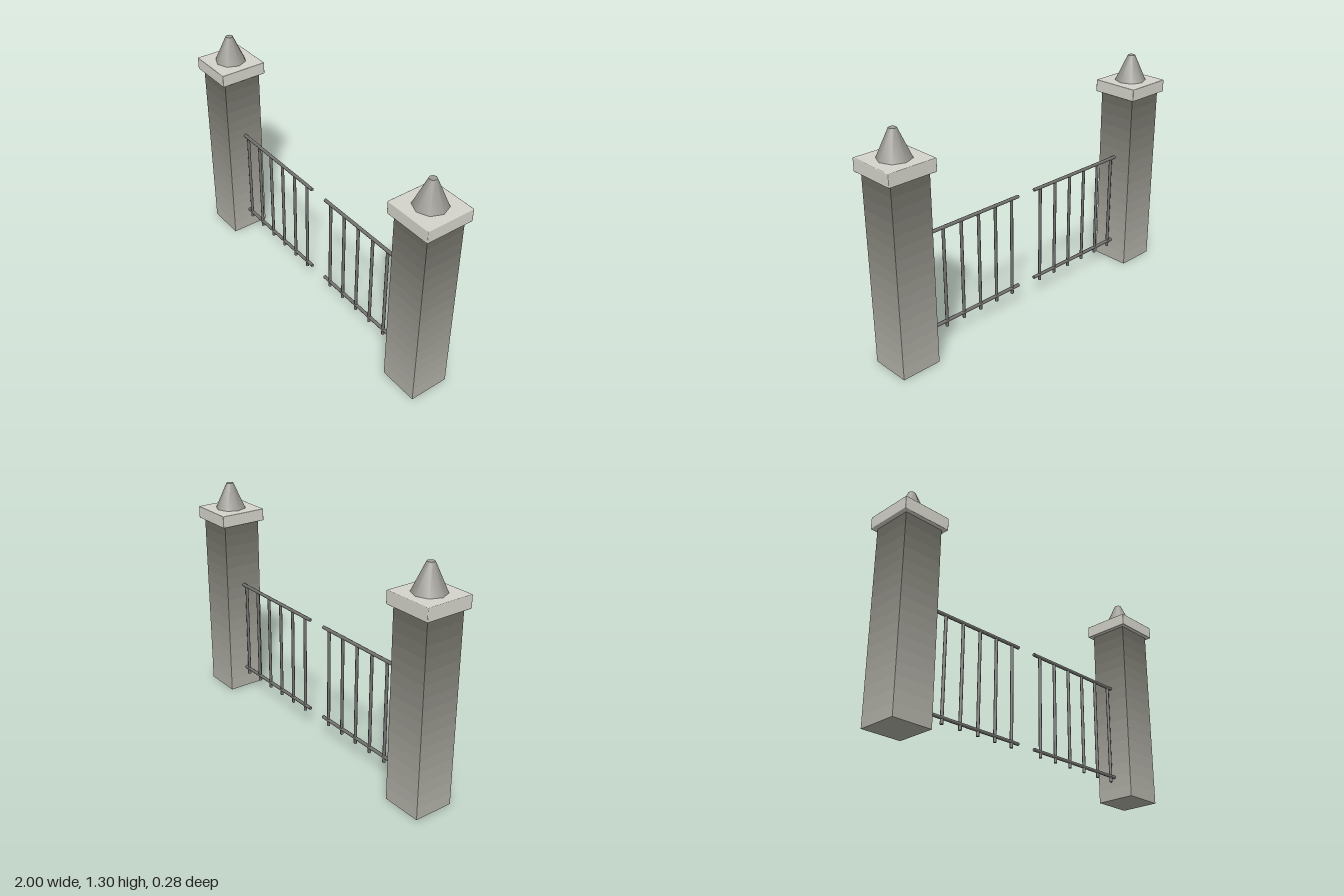
import * as THREE from 'three';
import { RoundedBoxGeometry } from 'three/addons/geometries/RoundedBoxGeometry.js';

const paleStone = new THREE.MeshStandardMaterial({ color: 0xd5d4cb });
const midStone = new THREE.MeshStandardMaterial({ color: 0x9c9b94 });
const iron = new THREE.MeshStandardMaterial({ color: 0x727270 });

// Shaft tones, weathered dark at the top and paler towards the ground
const ROWS = 16;
const darkTone = new THREE.Color(0x69685f);
const lightTone = new THREE.Color(0xb2b1a8);
const shaftStone = Array.from({ length: ROWS }, (_, i) => new THREE.MeshStandardMaterial({
  color: darkTone.clone().lerp(lightTone, (i + 0.5) / ROWS),
}));

function part(parent, name, geometry, material, x, y) {
  const mesh = new THREE.Mesh(geometry, material);
  mesh.name = name;
  mesh.position.set(x, y, 0);
  parent.add(mesh);
}

// Square shaft whose side faces take one tone per row, from the top down
function shaftGeometry() {
  const geometry = new THREE.BoxGeometry(0.23, 1.085, 0.23, 1, ROWS, 1);
  const faces = geometry.groups.slice();
  geometry.clearGroups();
  faces.forEach(({ start, count }, face) => {
    if (face === 2) geometry.addGroup(start, count, 0);
    else if (face === 3) geometry.addGroup(start, count, ROWS - 1);
    else for (let i = 0; i < ROWS; i++) geometry.addGroup(start + i * 6, 6, i);
  });
  return geometry;
}

// Stone gatepost: shaft, square capstone and eight-sided tapered finial
function createPost(side) {
  const post = new THREE.Group();
  post.name = side > 0 ? 'leftPost' : 'rightPost';
  post.position.x = side * 0.86;
  part(post, 'shaft', shaftGeometry(), shaftStone, 0, 0.5425);
  part(post, 'capstone', new RoundedBoxGeometry(0.28, 0.072, 0.28, 1, 0.004), paleStone, 0, 1.115);
  part(post, 'finial', new THREE.CylinderGeometry(0.021, 0.09, 0.152, 8), midStone, 0, 1.226);
  return post;
}

// Railing leaf: two horizontal rails carrying six upright bars
function createLeaf(side) {
  const leaf = new THREE.Group();
  leaf.name = side > 0 ? 'leftGate' : 'rightGate';
  const inner = 0.06, outer = 0.748;
  const railGeometry = new THREE.CylinderGeometry(0.01, 0.01, outer - inner, 8).rotateZ(Math.PI / 2);
  part(leaf, 'topRail', railGeometry, iron, side * (inner + outer) / 2, 0.69);
  part(leaf, 'bottomRail', railGeometry, iron, side * (inner + outer) / 2, 0.131);

  const bottom = 0.097, top = 0.692;
  const barGeometry = new THREE.CylinderGeometry(0.009, 0.009, top - bottom, 8);
  for (let i = 0; i < 6; i++) {
    part(leaf, 'bar', barGeometry, iron, side * (0.111 + i * 0.12), (bottom + top) / 2);
  }
  return leaf;
}

export function createModel() {
  const gate = new THREE.Group();
  gate.name = 'gate';
  for (const side of [-1, 1]) gate.add(createPost(side), createLeaf(side));
  return gate;
}
